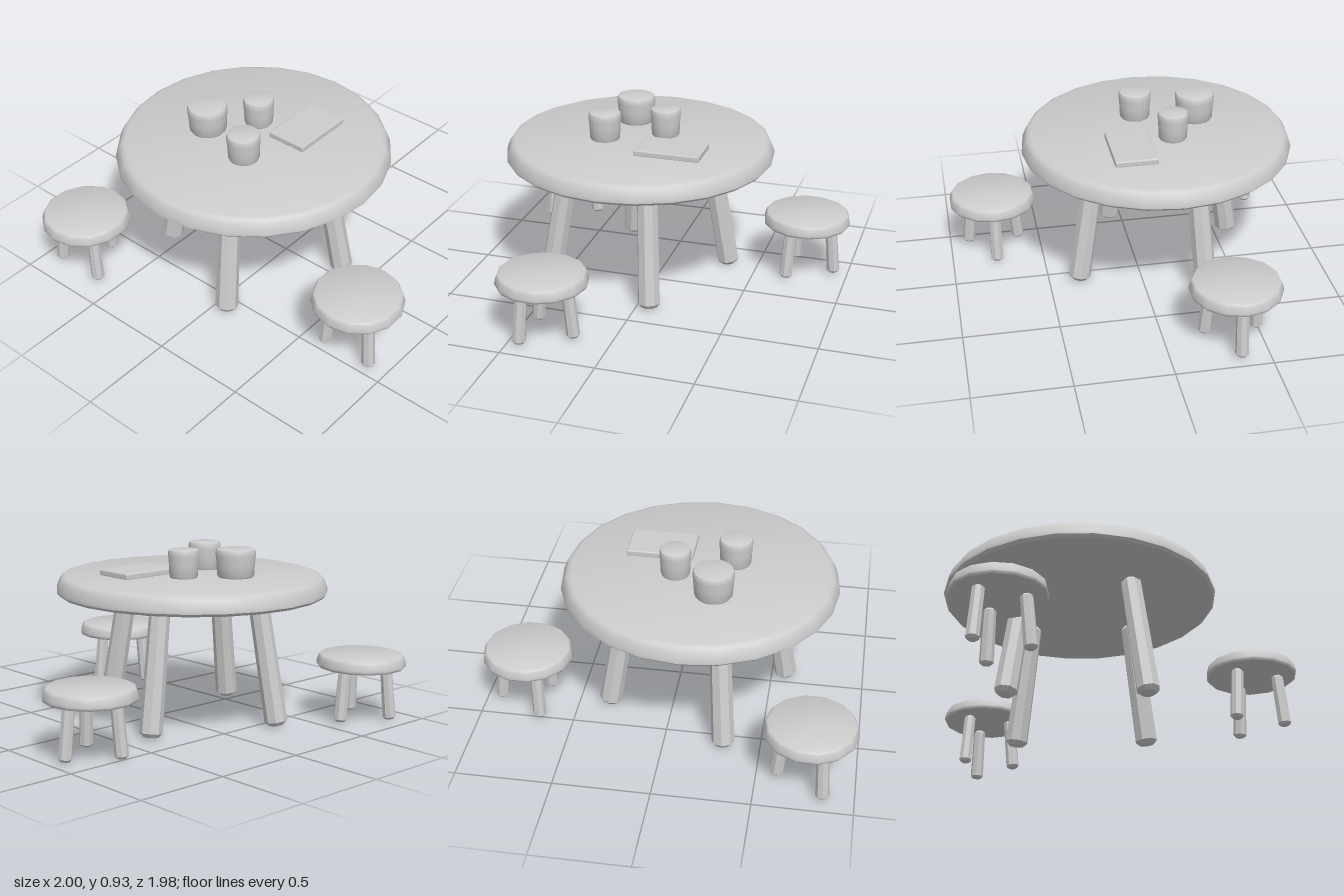
import * as THREE from 'three';
import { toCreasedNormals } from 'three/addons/utils/BufferGeometryUtils.js';
import { RoundedBoxGeometry } from 'three/addons/geometries/RoundedBoxGeometry.js';

const clay = new THREE.MeshStandardMaterial({ color: 0xcccccc });
clay.name = 'plain grey';

function part(name, geometry, parent) {
  const mesh = new THREE.Mesh(geometry, clay);
  mesh.name = name;
  parent.add(mesh);
  return mesh;
}

// Closed turned solid from [radius, height] pairs, listed from the bottom up
function turned(profile, sides, crease = 0.6) {
  const points = profile.map(([r, y]) => new THREE.Vector2(r, y));
  return toCreasedNormals(new THREE.LatheGeometry(points, sides), crease);
}

// Round slab with a softened upper edge
function slab(radius, bottom, top, bevel, sides) {
  const h = top - bottom;
  return turned([
    [0, bottom], [radius - bevel * 0.3, bottom], [radius, bottom + h * 0.15],
    [radius, bottom + h * 0.3], [radius - bevel * 0.35, bottom + h * 0.75],
    [radius - bevel * 0.6, bottom + h * 0.92], [radius - bevel, top], [0, top],
  ], sides);
}

// Splayed eight-sided leg with bevelled ends, leaning outwards along an angle
function leg(name, angle, foot, head, footRadius, headRadius, parent) {
  const length = Math.hypot(foot[0] - head[0], head[1] - foot[1]);
  const b = footRadius * 0.35;
  const geometry = turned([
    [0, 0], [footRadius - b, 0], [footRadius, b],
    [headRadius, length - b], [headRadius - b, length], [0, length],
  ], 8, 0.5);
  geometry.rotateY(Math.PI / 8);
  geometry.rotateZ(Math.atan2(foot[0] - head[0], head[1] - foot[1]));
  geometry.translate(foot[0], foot[1], 0);
  part(name, geometry, parent).rotation.y = angle;
}

function createTable() {
  const table = new THREE.Group();
  table.name = 'table';
  table.position.set(-0.12, 0, -0.12);
  part('tableTop', slab(0.72, 0.685, 0.785, 0.05, 24), table);
  for (let i = 0; i < 4; i++) {
    leg('tableLeg', Math.PI / 8 + i * Math.PI / 2, [0.495, 0.012], [0.38, 0.68], 0.06, 0.054, table);
  }
  return table;
}

function createStool(x, z) {
  const stool = new THREE.Group();
  stool.name = 'stool';
  stool.position.set(x, 0, z);
  part('stoolSeat', slab(0.237, 0.295, 0.36, 0.022, 14), stool).rotation.y = Math.PI / 2;
  for (let i = 0; i < 3; i++) {
    leg('stoolLeg', i * Math.PI * 2 / 3, [0.16, 0.015], [0.133, 0.294], 0.035, 0.032, stool);
  }
  return stool;
}

// Solid tumbler, slightly narrower towards its foot
function createCup(x, z, r, parent) {
  const geometry = turned([
    [0, 0], [r * 0.86, 0], [r * 0.93, 0.012], [r * 0.96, 0.07],
    [r, 0.115], [r, 0.135], [r * 0.95, 0.147], [r * 0.88, 0.15], [0, 0.15],
  ], 18);
  part('cup', geometry, parent).position.set(x, 0.783, z);
}

export function createModel() {
  const model = new THREE.Group();
  model.name = 'tableWithStools';
  model.add(createTable());
  for (const [x, z] of [[0.762, -0.355], [-0.762, -0.763], [-0.358, 0.757]]) {
    model.add(createStool(x, z));
  }

  // Tableware
  createCup(-0.218, -0.352, 0.105, model);
  createCup(-0.293, -0.038, 0.087, model);
  createCup(0, -0.188, 0.081, model);
  part('board', new RoundedBoxGeometry(0.35, 0.034, 0.225, 2, 0.008), model).position.set(0.104, 0.798, 0.053);
  return model;
}
